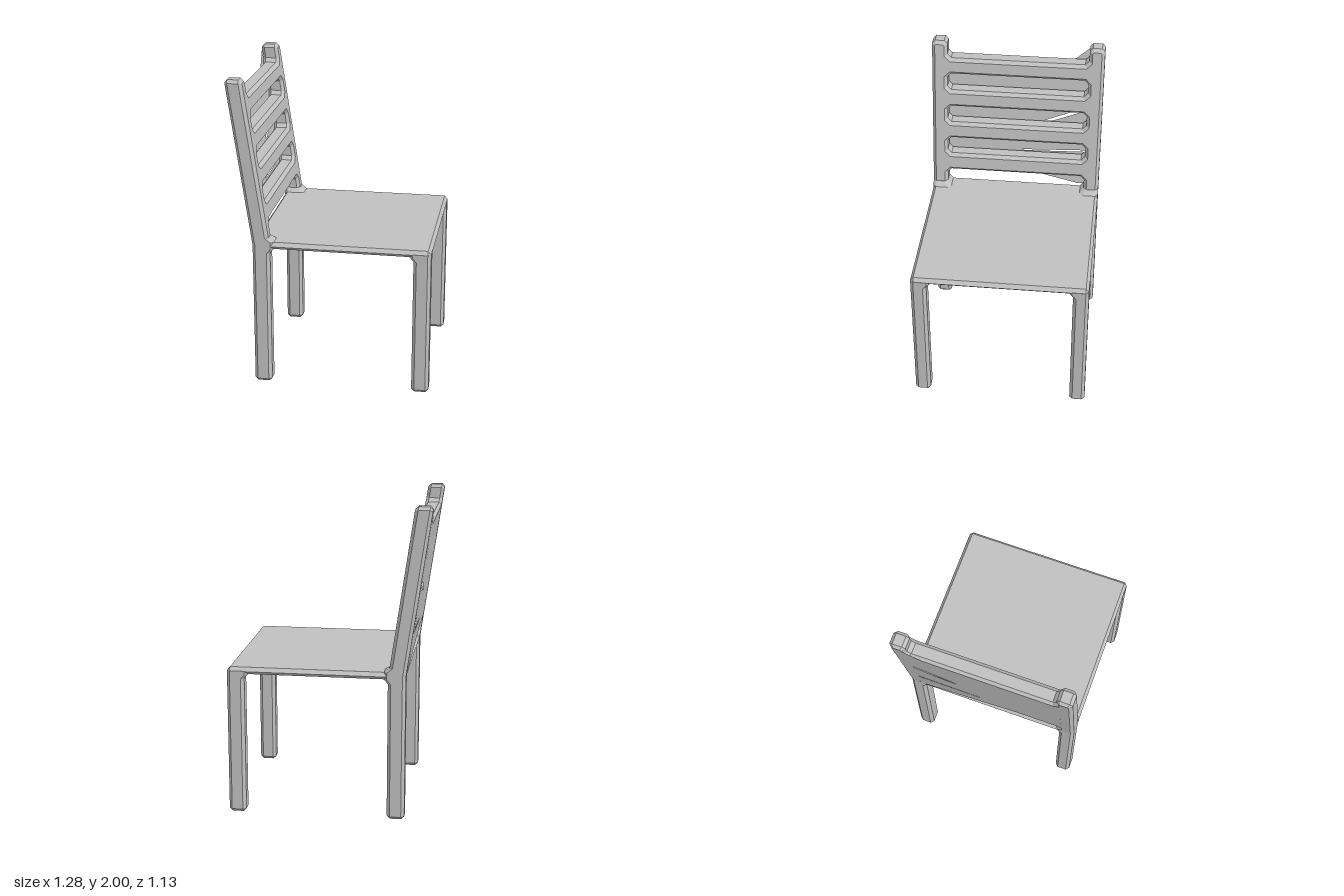
import * as THREE from 'three';

const C = 0.02;                       // chamfer used on every edge
const REAR = -0.49, BEND = 0.94, LEAN = 0.146;

// Horizontal rectangle with cut corners, as eight points
function ring(y, x0, x1, za, zb, c) {
  const z0 = Math.min(za, zb), z1 = Math.max(za, zb);
  return [
    [x1, z0 + c], [x1, z1 - c], [x1 - c, z1], [x0 + c, z1],
    [x0, z1 - c], [x0, z0 + c], [x0 + c, z0], [x1 - c, z0],
  ].map(([x, z]) => [x, y, z]);
}

// Faceted solid through a stack of rings, from bottom to top
function loft(rings) {
  const p = [];
  const tri = (a, b, c) => p.push(...a, ...b, ...c);
  for (let i = 0; i + 1 < rings.length; i++) {
    const lo = rings[i], hi = rings[i + 1];
    for (let j = 0; j < 8; j++) {
      const k = (j + 1) % 8;
      tri(lo[j], hi[j], lo[k]);
      tri(lo[k], hi[j], hi[k]);
    }
  }
  const bottom = rings[0], top = rings[rings.length - 1];
  for (let j = 1; j < 7; j++) {
    tri(bottom[0], bottom[j], bottom[j + 1]);
    tri(top[0], top[j + 1], top[j]);
  }
  const g = new THREE.BufferGeometry();
  g.setAttribute('position', new THREE.Float32BufferAttribute(p, 3));
  g.computeVertexNormals();
  return g;
}

const points = (list) => list.map(([x, y]) => new THREE.Vector2(x, y));

// Turn a drawing in the back's plane to face +x and lean it backwards
function leanBack(geometry, offset) {
  geometry.rotateY(Math.PI / 2);
  const pos = geometry.attributes.position;
  for (let i = 0; i < pos.count; i++) {
    let y = pos.getY(i);
    if (y < BEND + 0.025) y = BEND;   // keep the post feet flat
    pos.setXYZ(i, pos.getX(i) + offset - LEAN * (y - BEND), y, pos.getZ(i));
  }
  geometry.computeVertexNormals();
  return geometry;
}

export function createModel() {
  const model = new THREE.Group();
  const grey = new THREE.MeshStandardMaterial({ color: 0xc0c0c0, flatShading: true });
  const panelGrey = grey.clone();
  panelGrey.side = THREE.DoubleSide;
  grey.name = 'grey';
  panelGrey.name = 'greyTwoSided';
  const add = (name, geometry, material = grey) => {
    const mesh = new THREE.Mesh(geometry, material);
    mesh.name = name;
    model.add(mesh);
  };

  // Seat slab with chamfered rim
  add('seat', loft([
    ring(0.92, REAR + C, 0.62, -0.545, 0.545, 0),
    ring(0.94, REAR, 0.64, -0.565, 0.565, C),
    ring(0.965, REAR + C, 0.62, -0.545, 0.545, 0),
  ]));

  for (const s of [1, -1]) {
    const side = s > 0 ? 'Left' : 'Right';
    const out = 0.565 * s, inn = 0.465 * s, flare = 0.44 * s;

    // Legs, widening inwards where they meet the seat
    const leg = (x0, x1, f0, f1) => loft([
      ring(0, x0 + C, x1 - C, out - C * s, inn + C * s, 0),
      ring(C, x0, x1, out, inn, C),
      ring(0.89, x0, x1, out, inn, C),
      ring(0.92, f0, f1, out, flare, C),
      ring(0.942, f0, f1, out, flare, C),
    ]);
    add('rearLeg' + side, leg(REAR, -0.378, REAR, -0.353));
    add('frontLeg' + side, leg(0.53, 0.64, 0.505, 0.64));

    // Small fillet where the back post meets the seat top
    add('postFillet' + side, loft([
      ring(0.94, REAR, -0.353, out, flare, C),
      ring(0.965, REAR - 0.004, -0.353, out, flare, C),
      ring(0.993, REAR - 0.008, -0.386, out, inn, C),
    ]));
  }

  // Back frame: two posts and four slats in one bevelled extrusion
  const k = 0.025, w = 0.465, o = 0.565;
  const half = [                       // right half of the outline, bottom slat to top slat
    [w - k, 1.08], [w, 1.08 - k], [w, BEND], [o, BEND], [o, 2 - C], [o - C, 2],
    [w + C, 2], [w, 2 - C], [w, 1.885 + k], [w - k, 1.885],
  ];
  const mirrored = half.map(([x, y]) => [-x, y]).reverse();
  const frame = new THREE.Shape(points([...half, ...mirrored]));
  for (const [y0, y1] of [[1.2, 1.315], [1.43, 1.545], [1.66, 1.775]]) {
    frame.holes.push(new THREE.Path(points([
      [-w + k, y0], [-w, y0 + k], [-w, y1 - k], [-w + k, y1],
      [w - k, y1], [w, y1 - k], [w, y0 + k], [w - k, y0],
    ])));
  }
  add('backFrame', leanBack(new THREE.ExtrudeGeometry(frame, {
    depth: 0.07, bevelEnabled: true, bevelThickness: C, bevelSize: C,
    bevelOffset: -C, bevelSegments: 1,
  }), REAR + C));

  // Thin sheet behind the slats, with its narrow slits and slanted lower edge
  const sheet = new THREE.Shape(points([
    [-0.485, 1.1], [-0.18, 1.1], [0.42, 0.966], [0.485, 0.966],
    [0.485, 1.97], [0.36, 1.865], [-0.485, 1.865],
  ]));
  sheet.holes.push(
    new THREE.Path(points([[0.18, 1.422], [0.47, 1.535], [0.47, 1.512], [0.23, 1.422]])),
    new THREE.Path(points([[0.02, 1.198], [0.47, 1.217], [0.47, 1.206], [0.06, 1.193]])),
  );
  add('backSheet', leanBack(new THREE.ShapeGeometry(sheet).toNonIndexed().scale(-1, 1, 1).scale(-1, 1, 1), REAR - 0.001), panelGrey);

  return model;
}
